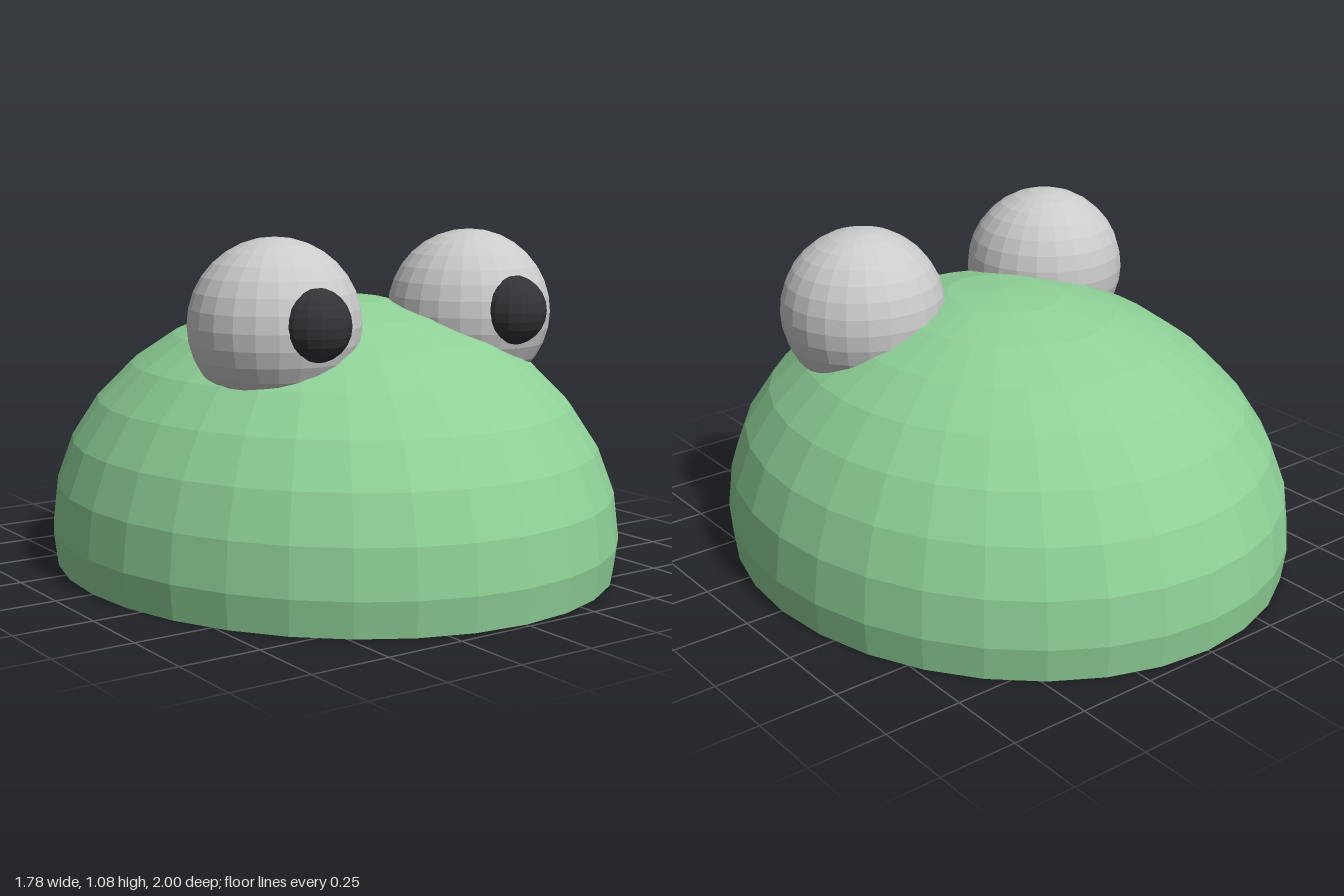
import * as THREE from 'three';

const material = (color) => new THREE.MeshStandardMaterial({ color, flatShading: true });

function addSphere(parent, name, radius, widthSegments, heightSegments, mat, x, y, z) {
  const mesh = new THREE.Mesh(new THREE.SphereGeometry(radius, widthSegments, heightSegments), mat);
  mesh.name = name;
  mesh.position.set(x, y, z);
  parent.add(mesh);
}

export function createModel() {
  const model = new THREE.Group();
  model.name = 'frogHead';
  const green = material(0x8fd197);
  const grey = material(0xcccccc);
  const dark = material(0x333338);

  // Head: faceted dome, widest just above its flat closed base
  const waist = 0.11, height = 0.76;
  const profile = [new THREE.Vector2(0, 0), new THREE.Vector2(0.985, 0)];
  for (let i = 0; i <= 8; i++) {
    const a = (i / 8) * Math.PI / 2;
    profile.push(new THREE.Vector2(i === 8 ? 0 : Math.cos(a), waist + height * Math.sin(a)));
  }
  const head = new THREE.Mesh(new THREE.LatheGeometry(profile, 32), green);
  head.name = 'head';
  head.scale.x = 0.89;
  model.add(head);

  // Bulging eyes with round pupils, mirrored
  for (const side of [1, -1]) {
    const eye = new THREE.Group();
    eye.name = side > 0 ? 'leftEye' : 'rightEye';
    eye.position.set(side * 0.375, 0.815, 0.25);
    addSphere(eye, 'eyeball', 0.265, 24, 16, grey, 0, 0, 0);
    addSphere(eye, 'pupil', 0.112, 16, 12, dark, 0, 0.018, 0.213);
    model.add(eye);
  }
  return model;
}
